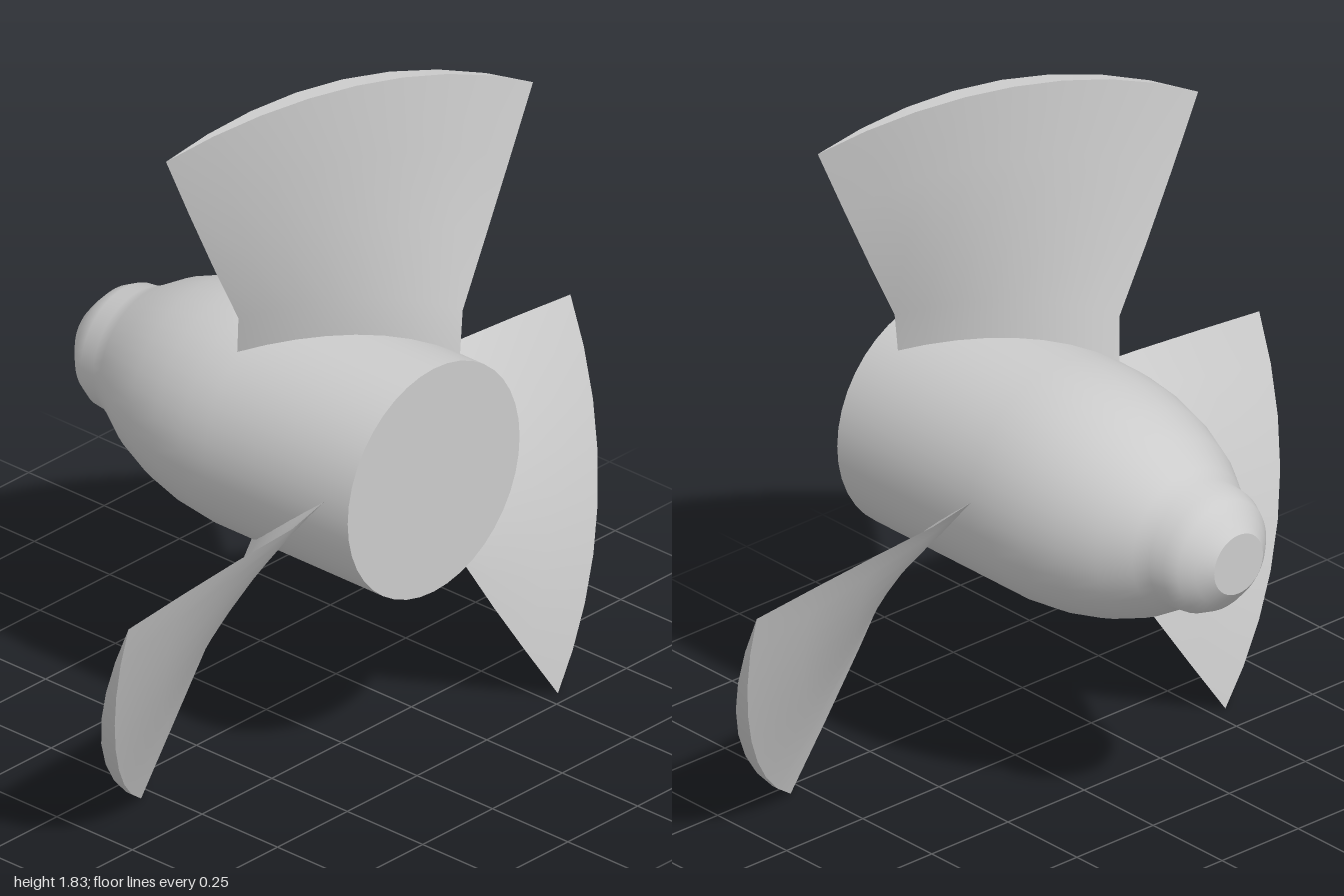
import * as THREE from 'three';

const AXIS_Y = 0.84;
const CHORD = 8;
// blade stations from root to tip: radius, half angle, x at leading edge, x at trailing edge
const STATIONS = [
  [0.29, 0.66, 0.065, 0.48],
  [0.31, 0.625, 0.072, 0.475],
  [0.41, 0.51, 0.093, 0.466],
  [0.6, 0.495, 0.09, 0.464],
  [0.8, 0.482, 0.088, 0.464],
  [0.997, 0.472, 0.087, 0.465],
];
const HALF_THICKNESS = 0.024;

// point on one face of the blade; side is +1 (rear face) or -1 (nose face)
function bladePoint(station, u, side) {
  const [r, half, x0, x1] = station;
  const angle = half * (1 - 2 * u);
  const x = THREE.MathUtils.lerp(x0, x1, u) + side * HALF_THICKNESS * Math.sin(Math.PI * u);
  return [x, r * Math.cos(angle), r * Math.sin(angle)];
}

// smooth surface through rows of points
function sheet(rows, flip) {
  const n = rows[0].length;
  const index = [];
  for (let j = 0; j < rows.length - 1; j++) {
    for (let i = 0; i < n - 1; i++) {
      const a = j * n + i, b = a + 1, c = a + n, d = c + 1;
      if (flip) index.push(a, c, b, b, c, d);
      else index.push(a, b, c, b, d, c);
    }
  }
  const g = new THREE.BufferGeometry();
  g.setAttribute('position', new THREE.Float32BufferAttribute(rows.flat(2), 3));
  g.setIndex(index);
  g.computeVertexNormals();
  return g;
}

const chordRow = (station, side) =>
  Array.from({ length: CHORD + 1 }, (_, i) => bladePoint(station, i / CHORD, side));

export function createModel() {
  const model = new THREE.Group();
  model.name = 'propeller';
  const material = new THREE.MeshStandardMaterial({ color: 0xcccccc });
  const add = (parent, geometry, name) => {
    const mesh = new THREE.Mesh(geometry, material);
    mesh.name = name;
    parent.add(mesh);
    return mesh;
  };

  // hub, turned about the x axis
  const hub = new THREE.Group();
  hub.name = 'hub';
  hub.position.y = AXIS_Y;
  const profile = [
    [0.08, -0.56], [0.115, -0.53], [0.145, -0.5], [0.162, -0.465], [0.167, -0.42],
    [0.186, -0.38], [0.234, -0.3], [0.273, -0.2], [0.297, -0.1], [0.308, 0], [0.308, 0.08], [0.308, 0.555],
  ].map(([r, x]) => new THREE.Vector2(r, x));
  add(hub, new THREE.LatheGeometry(profile, 40), 'hubBody').rotation.z = -Math.PI / 2;
  const nose = add(hub, new THREE.CircleGeometry(0.08, 40), 'noseCap');
  nose.position.x = -0.56;
  nose.rotation.y = -Math.PI / 2;
  const rear = add(hub, new THREE.CircleGeometry(0.308, 40), 'rearCap');
  rear.position.x = 0.555;
  rear.rotation.y = Math.PI / 2;
  model.add(hub);

  // three twisted blades, each with two bulged faces and a closed tip
  const tip = STATIONS[STATIONS.length - 1];
  const rearFace = sheet(STATIONS.map((s) => chordRow(s, 1)), false);
  const noseFace = sheet(STATIONS.map((s) => chordRow(s, -1)), true);
  const tipEdge = sheet([chordRow(tip, -1), chordRow(tip, 1)], true);
  for (let k = 0; k < 3; k++) {
    const blade = new THREE.Group();
    blade.name = `blade${k + 1}`;
    blade.position.y = AXIS_Y;
    blade.rotation.x = (k * Math.PI * 2) / 3;
    add(blade, rearFace, 'bladeRearFace');
    add(blade, noseFace, 'bladeNoseFace');
    add(blade, tipEdge, 'bladeTip');
    model.add(blade);
  }
  return model;
}
